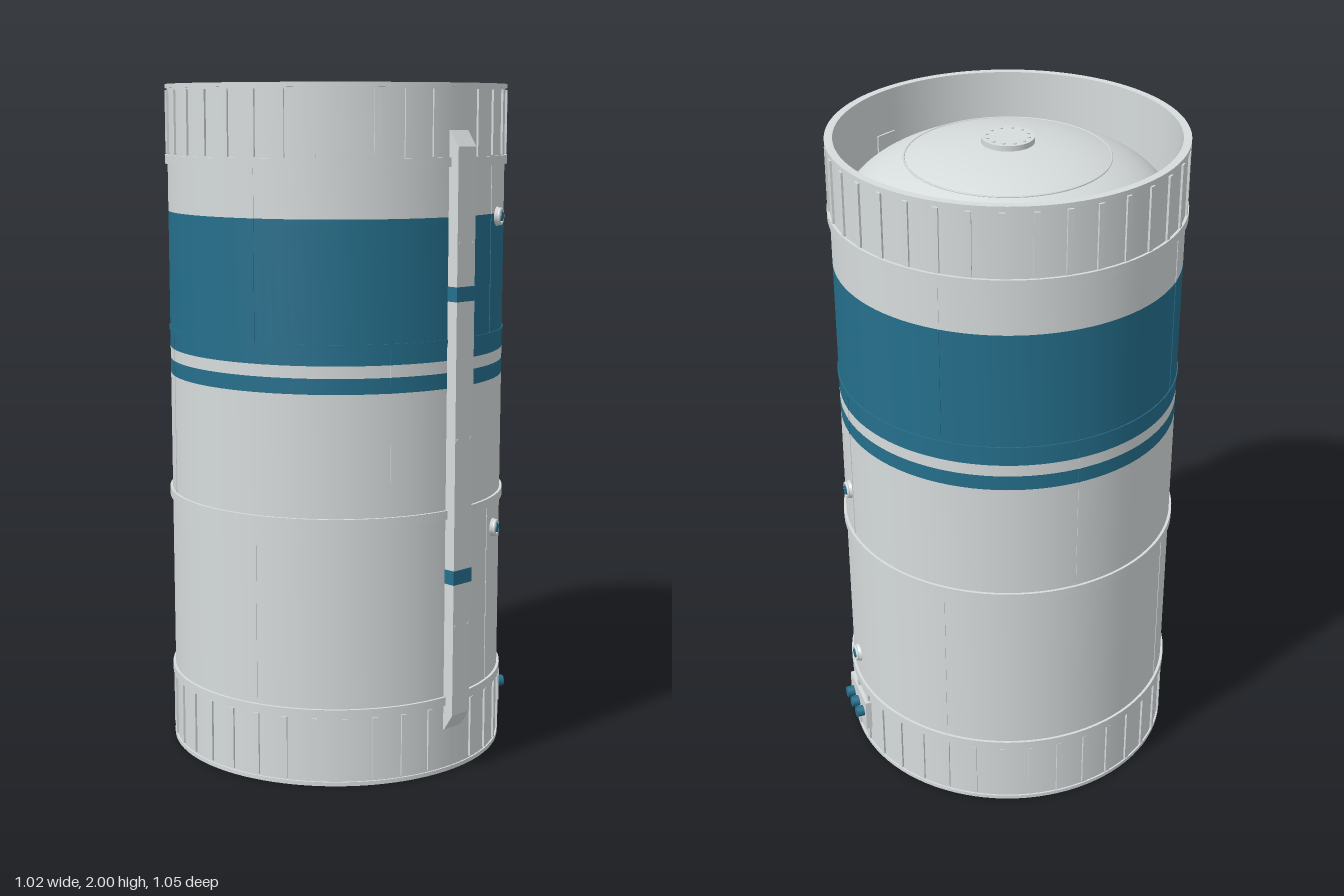
import * as THREE from 'three';
import { toCreasedNormals } from 'three/addons/utils/BufferGeometryUtils.js';

const R = 0.503, INNER = 0.485, SEG = 96;

export function createModel() {
  const model = new THREE.Group();
  model.name = 'rocketStage';
  const stage = new THREE.Group();
  stage.name = 'stageBody';
  stage.position.z = -0.012;
  model.add(stage);

  const white = new THREE.MeshStandardMaterial({ color: 0xd6dbdb });
  white.name = 'paleGrey';
  const blue = new THREE.MeshStandardMaterial({ color: 0x256f8c });
  blue.name = 'tealBlue';

  const add = (name, geo, mat, parent = stage) => {
    const mesh = new THREE.Mesh(geo, mat);
    mesh.name = name;
    parent.add(mesh);
    return mesh;
  };
  const lathe = (pts) => toCreasedNormals(
    new THREE.LatheGeometry(pts.map(([r, y]) => new THREE.Vector2(r, y)), SEG), 0.6);
  // Closed ring with a rectangular section
  const band = (name, y0, y1, ro, mat, ri = INNER) =>
    add(name, lathe([[ro, y0], [ro, y1], [ri, y1], [ri, y0], [ro, y0]]), mat);
  // Group whose +z points out of the wall at the given angle (0 = front, toward +x)
  const mount = (name, deg, y = 0) => {
    const g = new THREE.Group();
    g.name = name;
    g.rotation.y = THREE.MathUtils.degToRad(deg);
    g.position.y = y;
    stage.add(g);
    return g;
  };

  // Outer shell, stacked by colour
  band('lowerShell', 0, 1.145, R, white);
  band('narrowStripe', 1.145, 1.19, R, blue);
  band('stripeGap', 1.19, 1.225, R, white);
  band('wideStripe', 1.225, 1.63, R, blue);
  band('upperShell', 1.63, 2, R, white);

  // Joint rings
  for (const y of [0.218, 0.778, 1.782]) band('jointRing', y - 0.013, y + 0.013, 0.511, white, 0.5);
  band('stripeJoint', 1.275, 1.285, 0.506, blue, 0.5);
  for (const y of [0, 1.988]) band('endLip', y, y + 0.012, 0.508, white, 0.5);

  // Skirt stringers at both ends
  const ribGeo = new THREE.BoxGeometry(0.016, 0.185, 0.014);
  for (let i = 0; i < 36; i++) {
    if (i === 0) continue; // the cable duct covers this one
    const g = mount('stringers', i * 10);
    for (const y of [0.11, 1.89]) add('stringer', ribGeo, white, g).position.set(0, y, 0.502);
  }

  // Vertical panel seams, staggered between rows
  const seams = [[20, 0.231, 0.765, white], [-25, 0.791, 1.145, white], [-25, 1.19, 1.225, white],
    [-25, 1.145, 1.19, blue], [-25, 1.225, 1.275, blue], [20, 1.285, 1.63, blue], [20, 1.63, 1.769, white]];
  for (const [deg, y0, y1, mat] of seams) {
    for (let k = 0; k < 4; k++) {
      const g = mount('panelSeam', deg + k * 90, (y0 + y1) / 2);
      add('seam', new THREE.BoxGeometry(0.004, y1 - y0, 0.004), mat, g).position.z = R - 0.0005;
    }
  }

  // Inner tank with domed ends, leaving a narrow gap to the shell
  const dome = [];
  for (let i = 0; i <= 24; i++) {
    const a = (i / 24) * Math.PI / 2;
    dome.push([i === 24 ? 0 : 0.472 * Math.cos(a), 1.765 + 0.21 * Math.sin(a)]);
  }
  const lower = dome.map(([r, y]) => [r, 2 - y]).reverse();
  add('innerTank', lathe([...lower, ...dome]), white);

  // Dome weld rings, hatch covers and bolts
  for (const top of [true, false]) {
    const end = new THREE.Group();
    end.name = top ? 'upperDomeFittings' : 'lowerDomeFittings';
    if (!top) { end.rotation.x = Math.PI; end.position.y = 2; }
    stage.add(end);
    const weld = add('domeWeld', new THREE.TorusGeometry(0.29, 0.003, 6, SEG), white, end);
    weld.rotation.x = Math.PI / 2;
    weld.position.y = 1.931;
    add('hatchCover', new THREE.CylinderGeometry(0.075, 0.075, 0.03, 48), white, end).position.y = 1.973;
    for (let i = 0; i < 12; i++) {
      const a = i * Math.PI / 6;
      add('hatchBolt', new THREE.CylinderGeometry(0.005, 0.005, 0.004, 8), white, end)
        .position.set(0.06 * Math.cos(a), 1.989, 0.06 * Math.sin(a));
    }
  }

  // Cable duct down the front with sloped ends
  const side = new THREE.Shape([[0.479, 0.13], [0.505, 0.13], [0.537, 0.18], [0.537, 1.825],
    [0.505, 1.87], [0.479, 1.87]].map(([z, y]) => new THREE.Vector2(z, y)));
  const ductGeo = new THREE.ExtrudeGeometry(side, { depth: 0.072, bevelEnabled: false });
  ductGeo.translate(0, 0, -0.036);
  ductGeo.rotateY(-Math.PI / 2);
  add('cableDuct', ductGeo, white);
  for (const y of [0.595, 1.415])
    add('ductBand', new THREE.BoxGeometry(0.075, 0.042, 0.04), blue).position.set(0, y, 0.5185);
  for (const y of [0.45, 1.0, 1.56])
    for (const x of [-0.026, 0.026])
      add('ductScrew', new THREE.BoxGeometry(0.008, 0.006, 0.004), white).position.set(x, y, 0.537);

  // Round service ports with blue plugs
  const collar = new THREE.CylinderGeometry(0.024, 0.03, 0.016, 32).rotateX(Math.PI / 2);
  const rim = new THREE.TorusGeometry(0.021, 0.005, 8, 32);
  const plug = new THREE.CylinderGeometry(0.014, 0.014, 0.012, 24).rotateX(Math.PI / 2);
  for (const [deg, y] of [[26, 1.62], [26, 0.69], [62, 0.935], [62, 0.315]]) {
    const g = mount('servicePort', deg, y);
    add('portCollar', collar, white, g).position.z = 0.506;
    add('portRim', rim, white, g).position.z = 0.514;
    add('portPlug', plug, blue, g).position.z = 0.514;
  }

  // Connector plate with three plugs
  const panel = mount('connectorPanel', 62, 0.12);
  add('connectorPlate', new THREE.BoxGeometry(0.172, 0.104, 0.022), white, panel).position.z = 0.503;
  const connector = new THREE.CylinderGeometry(0.017, 0.017, 0.03, 24).rotateX(Math.PI / 2);
  for (const x of [-0.053, 0, 0.053]) add('connector', connector, blue, panel).position.set(x, 0, 0.523);

  return model;
}
